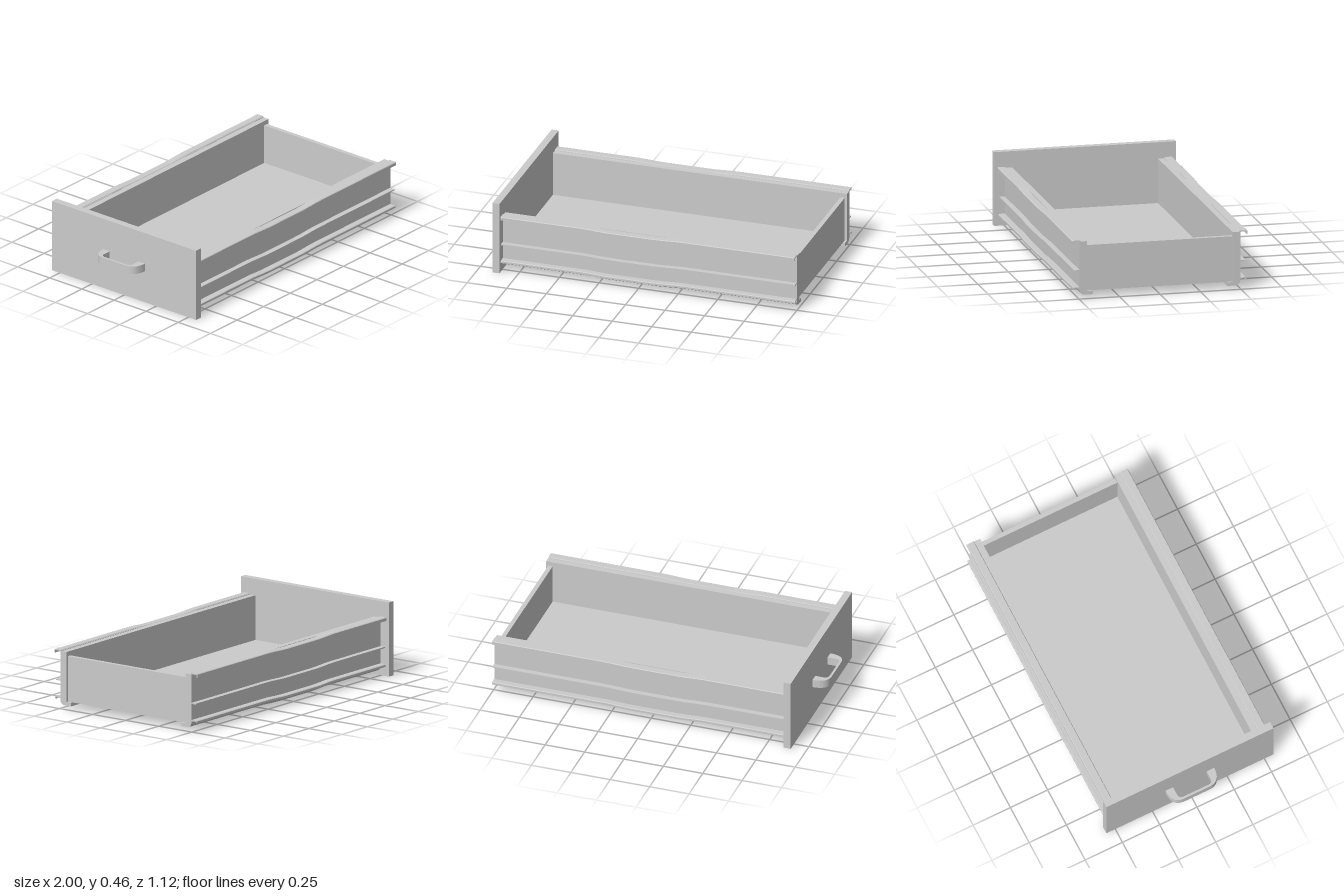
import * as THREE from 'three';

const material = new THREE.MeshStandardMaterial({ color: 0xcccccc });

function add(parent, name, geometry) {
  const mesh = new THREE.Mesh(geometry, material);
  mesh.name = name;
  parent.add(mesh);
  return mesh;
}

// Box given by its lower and upper corners
function box(parent, name, [x0, y0, z0], [x1, y1, z1]) {
  const mesh = add(parent, name, new THREE.BoxGeometry(x1 - x0, y1 - y0, z1 - z0));
  mesh.position.set((x0 + x1) / 2, (y0 + y1) / 2, (z0 + z1) / 2);
}

// Slight sag of the pressed metal around mid length
const sag = x => 0.007 * (THREE.MathUtils.smoothstep(x, -0.36, -0.18) - THREE.MathUtils.smoothstep(x, 0.1, 0.3));

// Sweep a (z, y) cross-section along the drawer, from the front panel to the back
function runner(parent, name, shape, x0, x1, sagging) {
  const geometry = new THREE.ExtrudeGeometry(shape, {
    depth: x1 - x0, steps: sagging ? 40 : 1, bevelEnabled: false, curveSegments: 8,
  });
  geometry.rotateY(Math.PI / 2).translate(x0, 0, 0);
  if (sagging) {
    const p = geometry.attributes.position;
    for (let i = 0; i < p.count; i++) p.setY(i, p.getY(i) - sag(p.getX(i)));
    geometry.computeVertexNormals();
  }
  add(parent, name, geometry);
}

// Closed cross-section; s is the side of the drawer it belongs to
function section(s, points) {
  return new THREE.Shape(points.map(([z, y]) => new THREE.Vector2(-s * z, y)));
}

// Quarter-round points from straight down the side to flat along the bottom
function corner(z, y, r) {
  return Array.from({ length: 7 }, (_, i) => {
    const a = (i / 6) * Math.PI / 2;
    return [z - r + r * Math.cos(a), y + r - r * Math.sin(a)];
  });
}

function createSide(name, s) {
  const side = new THREE.Group();
  side.name = name;

  // Side board with a foot that carries the bottom panel
  runner(side, 'sideBoard', section(s, [
    [0.45, 0.355], [0.488, 0.355], ...corner(0.488, 0.031, 0.025),
    [0.415, 0.031], [0.415, 0.047], [0.45, 0.047],
  ]), -0.86, 0.998, false);

  // Thin metal skin wrapped round the outside and under the foot
  runner(side, 'metalSkin', section(s, [
    [0.488, 0.357], [0.496, 0.357], ...corner(0.496, 0.025, 0.032),
    [0.415, 0.025], [0.415, 0.031], ...corner(0.488, 0.031, 0.025).reverse(),
  ]), -0.86, 0.998, true);

  // Hooked rails at top and bottom
  for (const [name, y, z, lip] of [['topRail', 0.362, 0.54, 0.022], ['bottomRail', 0.073, 0.535, 0.016]]) {
    runner(side, name, section(s, [
      [0.49, y - 0.006], [0.494, y], [z - 0.004, y], [z, y - 0.004], [z, y - lip],
      [z - 0.006, y - lip], [z - 0.006, y - 0.007], [0.497, y - 0.007], [0.494, y - 0.014], [0.49, y - 0.014],
    ]), -0.86, 0.998, true);
  }

  // Flat middle rail
  runner(side, 'middleRail', section(s, [
    [0.49, 0.179], [0.53, 0.179], [0.53, 0.172], [0.49, 0.172],
  ]), -0.86, 0.998, true);
  return side;
}

// Bow handle, drawn in plan and extruded upward
function createHandle() {
  const shape = new THREE.Shape();
  shape.moveTo(-0.9, -0.163);
  shape.bezierCurveTo(-0.965, -0.163, -1, -0.14, -1, -0.085);
  shape.lineTo(-1, 0.085);
  shape.bezierCurveTo(-1, 0.14, -0.965, 0.163, -0.9, 0.163);
  shape.lineTo(-0.9, 0.113);
  shape.lineTo(-0.955, 0.113);
  shape.quadraticCurveTo(-0.986, 0.113, -0.986, 0.08);
  shape.lineTo(-0.986, -0.08);
  shape.quadraticCurveTo(-0.986, -0.113, -0.955, -0.113);
  shape.lineTo(-0.9, -0.113);
  const geometry = new THREE.ExtrudeGeometry(shape, { depth: 0.05, bevelEnabled: false, curveSegments: 10 });
  return geometry.rotateX(-Math.PI / 2).translate(0, 0.205, 0);
}

export function createModel() {
  const drawer = new THREE.Group();
  drawer.name = 'drawer';

  box(drawer, 'frontPanel', [-0.905, 0, -0.56], [-0.86, 0.456, 0.56]);
  box(drawer, 'bottomPanel', [-0.86, 0.047, -0.45], [0.984, 0.08, 0.45]);
  box(drawer, 'backPanel', [0.957, 0.08, -0.45], [0.984, 0.327, 0.45]);
  add(drawer, 'handle', createHandle());
  drawer.add(createSide('leftRunner', 1), createSide('rightRunner', -1));
  return drawer;
}
